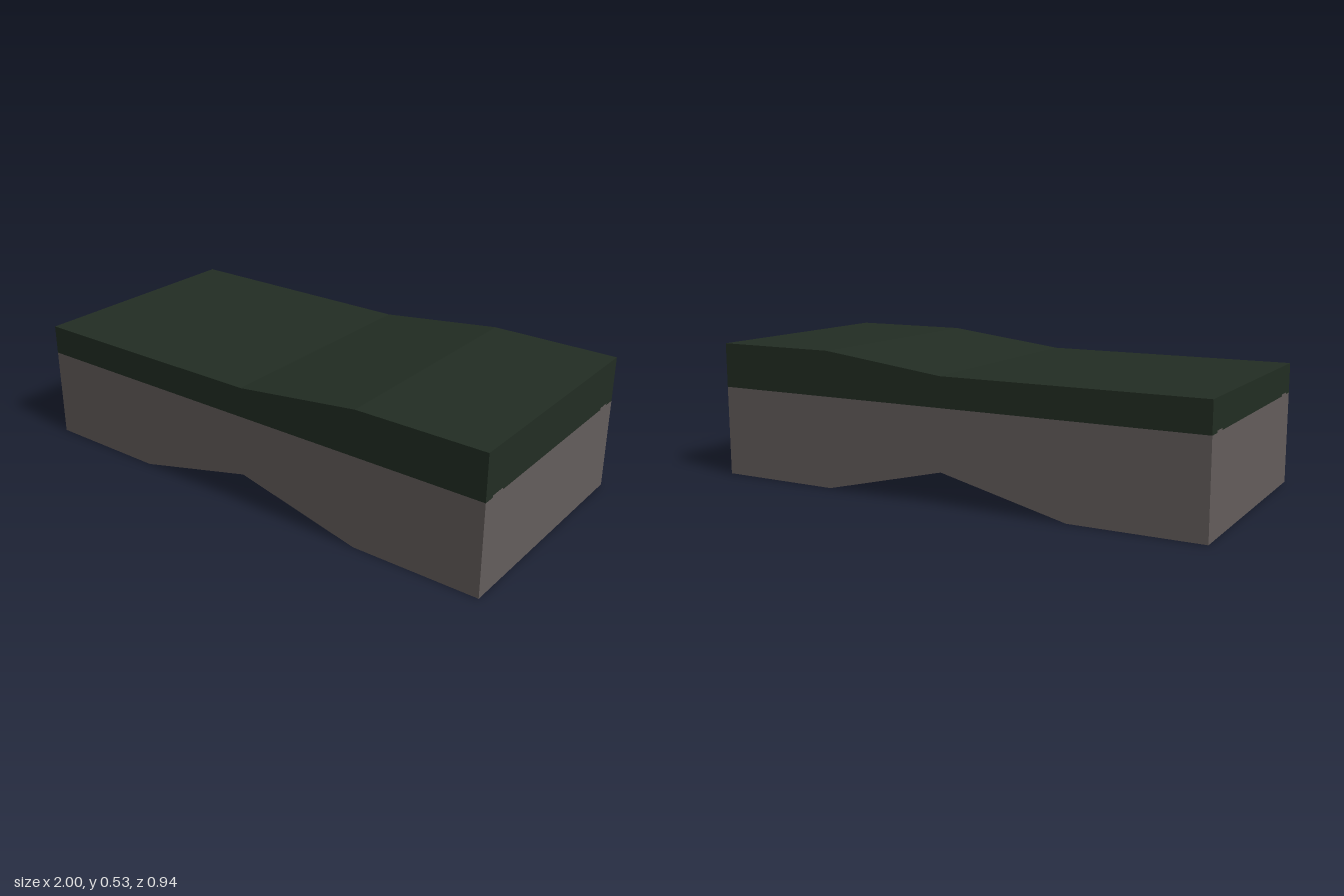
import * as THREE from 'three';

const DEPTH = 0.94; // front to back
const SEAM = 0.355; // height where the soil meets the grass

const grass = new THREE.MeshStandardMaterial({ color: 0x222d23 });
grass.name = 'dark grass green';
const soil = new THREE.MeshStandardMaterial({ color: 0x645d5c });
soil.name = 'grey brown soil';

// Side profile extruded from back to front
function layer(name, points, material) {
  const shape = new THREE.Shape(points.map(([x, y]) => new THREE.Vector2(x, y)));
  const geometry = new THREE.ExtrudeGeometry(shape, { depth: DEPTH, bevelEnabled: false });
  geometry.translate(0, 0, -DEPTH / 2);
  const mesh = new THREE.Mesh(geometry, material);
  mesh.name = name;
  return mesh;
}

export function createModel() {
  const group = new THREE.Group();
  group.name = 'terrainBlock';

  // Soil base with a shallow peaked hollow underneath
  group.add(layer('soilBase', [
    [-1, 0], [-0.5, 0], [0, 0.12], [0.5, 0], [1, 0], [1, SEAM], [-1, SEAM],
  ], soil));

  // Grass layer rising to a step on the left
  group.add(layer('grassTop', [
    [-1, SEAM], [1, SEAM], [1, 0.53], [0.5, 0.53], [0, 0.47], [-1, 0.47],
  ], grass));

  // Small raised patches of soil along the seam at both ends
  for (const side of [-1, 1]) {
    for (const [z, width] of [[0.395, 0.062], [-0.395, 0.05]]) {
      const patch = new THREE.Mesh(new THREE.BoxGeometry(0.002, 0.008, width), soil);
      patch.name = 'soilPatch';
      patch.position.set(side, SEAM + 0.003, z);
      group.add(patch);
    }
  }

  return group;
}
